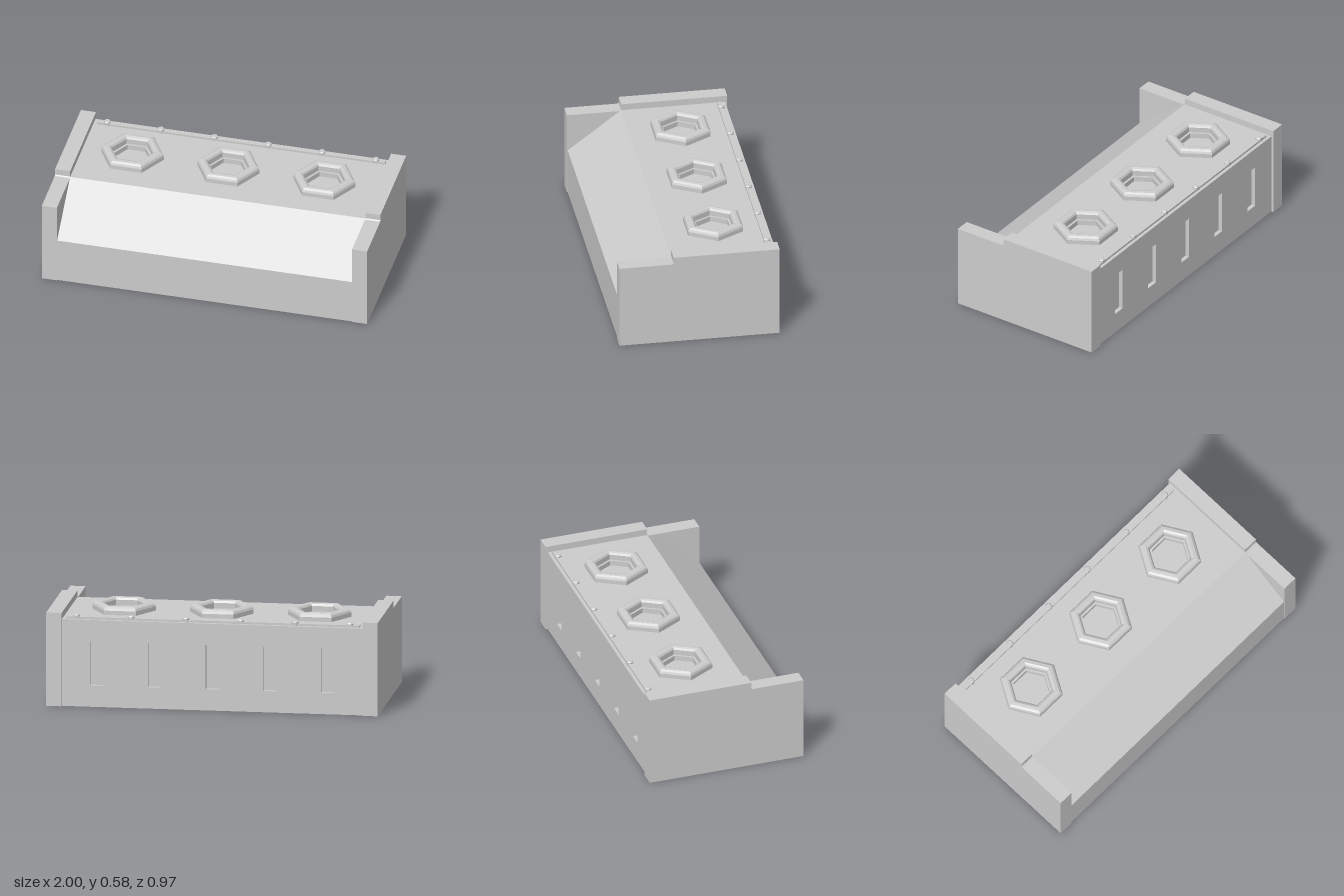
import * as THREE from 'three';

const HALF = 0.907;   // half width of the body between the end panels
const TOP = 0.53;     // deck height
const BACK = -0.472;  // rear face of the body
const WALL = 0.025;   // rear wall thickness
const DECK = 0.04;    // deck thickness

const grey = new THREE.MeshStandardMaterial({ color: 0xcccccc });
grey.name = 'plain grey';

function add(parent, name, geometry) {
  const mesh = new THREE.Mesh(geometry, grey);
  mesh.name = name;
  parent.add(mesh);
  return mesh;
}

function polygon(points, Type = THREE.Shape) {
  return new Type(points.map(([x, y]) => new THREE.Vector2(x, y)));
}

function rectangle(x0, y0, x1, y1, Type) {
  return polygon([[x0, y0], [x1, y0], [x1, y1], [x0, y1]], Type);
}

function extrude(shape, depth) {
  return new THREE.ExtrudeGeometry(shape, { depth, bevelEnabled: false });
}

// Side profile given as [z, y], swept along x from x0 to x1
function sweepX(points, x0, x1) {
  return extrude(polygon(points), x1 - x0).rotateY(-Math.PI / 2).translate(x1, 0, 0);
}

// Six-sided turned part with flat faces and corners on the x axis
function hexTurned(points) {
  const lathe = new THREE.LatheGeometry(points.map(([r, y]) => new THREE.Vector2(r, y)), 6);
  const flat = lathe.rotateY(Math.PI / 6).toNonIndexed();
  flat.computeVertexNormals();
  return flat;
}

export function createModel() {
  const model = new THREE.Group();
  model.name = 'barrier';

  // Core with upright front and sloped upper front
  add(model, 'core', sweepX([
    [BACK + WALL, 0], [0.48, 0], [0.48, 0.285], [0.157, TOP],
    [0.157, TOP - DECK], [BACK + WALL, TOP - DECK],
  ], -HALF, HALF));

  // Deck with hexagonal openings
  const sockets = [-0.6, -0.01, 0.58];
  const socketZ = -0.152;
  const deck = rectangle(-HALF, -0.157, HALF, -BACK);
  for (const x of sockets) {
    const corners = Array.from({ length: 6 }, (_, i) => {
      const a = i * Math.PI / 3;
      return [x + 0.12 * Math.cos(a), -socketZ + 0.12 * Math.sin(a)];
    });
    deck.holes.push(polygon(corners, THREE.Path));
  }
  add(model, 'deck', extrude(deck, DECK).rotateX(-Math.PI / 2).translate(0, TOP - DECK, 0));

  // Raised hexagonal collars with sunken floors
  const collar = hexTurned([
    [0.192, TOP - 0.005], [0.192, 0.556], [0.186, 0.569], [0.172, 0.578], [0.15, 0.58],
    [0.136, 0.575], [0.128, 0.564], [0.128, TOP + 0.001], [0.112, TOP + 0.001],
    [0.112, 0.5], [0, 0.5],
  ]);
  for (const x of sockets) add(model, 'hexSocket', collar).position.set(x, 0, socketZ);

  // Rear wall with five upright slots
  const wall = rectangle(-HALF, 0, HALF, TOP - DECK);
  for (let i = -2; i <= 2; i++) {
    const x = i * 0.348;
    wall.holes.push(rectangle(x - 0.04, 0.13, x + 0.04, 0.4, THREE.Path));
  }
  add(model, 'rearWall', extrude(wall, WALL).translate(0, 0, BACK));

  // Riveted strip along the rear edge of the deck
  add(model, 'strip', new THREE.BoxGeometry(1.77, 0.016, 0.032)).position.set(0, 0.535, -0.436);
  const rivet = hexTurned([[0.022, 0.53], [0.022, 0.55], [0.017, 0.556], [0, 0.556]]);
  for (let i = 0; i < 6; i++) {
    add(model, 'rivet', rivet).position.set(-0.825 + i * 0.33, 0, -0.436);
  }

  // Stepped end panels
  const panel = [
    [-0.485, 0], [0.485, 0], [0.485, 0.525], [0.162, 0.525],
    [0.156, 0.532], [0.156, 0.57], [-0.485, 0.57],
  ];
  add(model, 'leftPanel', sweepX(panel, HALF, 1));
  add(model, 'rightPanel', sweepX(panel, -1, -HALF));

  return model;
}
